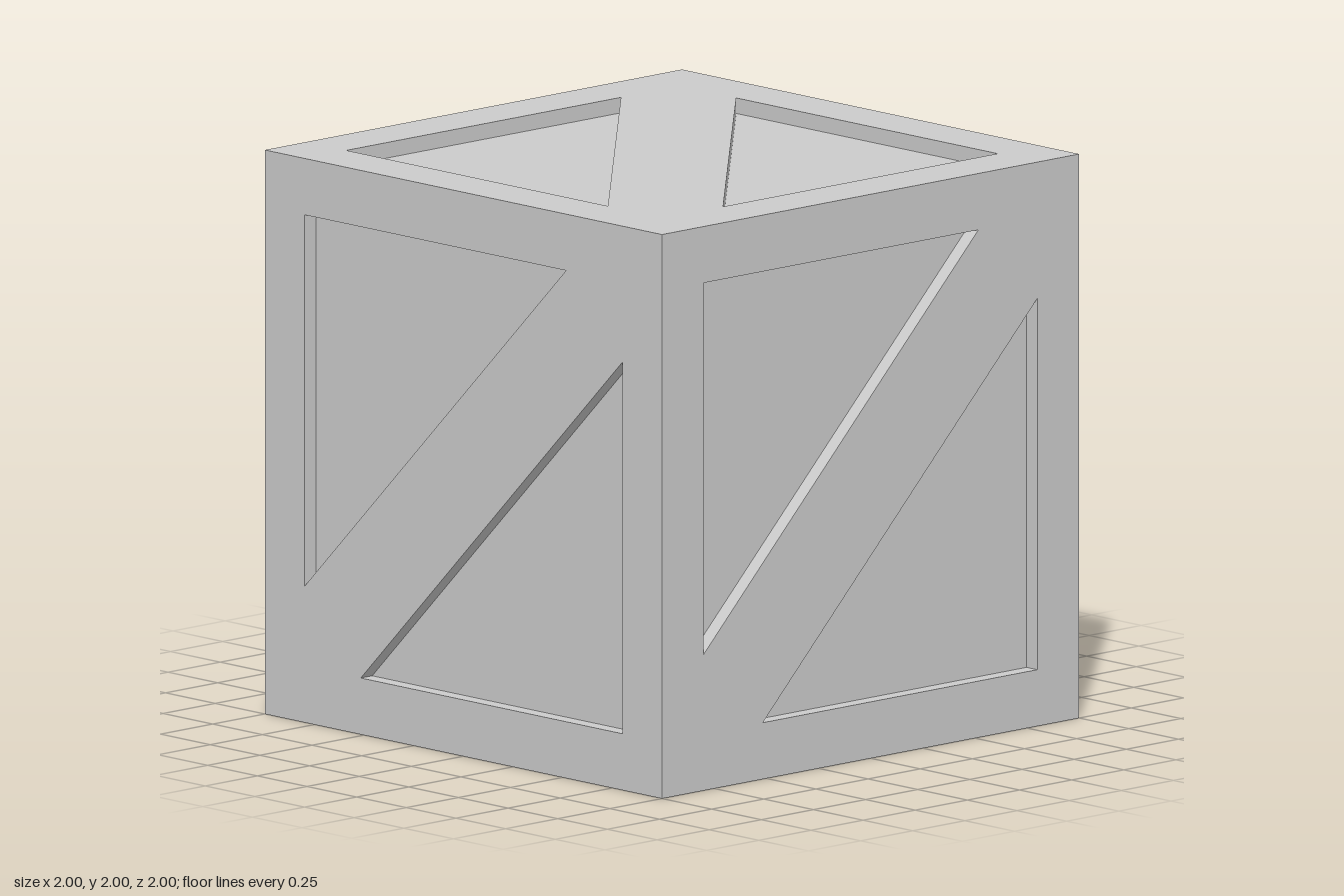
import * as THREE from 'three';

const HALF = 1;        // half the cube's side
const IN = 0.8;        // inner edge of the border
const CUT = 0.517;     // where the diagonal brace meets the border
const DEPTH = 0.055;   // depth of the recessed panels

const material = new THREE.MeshStandardMaterial({ color: 0xcccccc, flatShading: true });

// Triangle corners (counter-clockwise); s = -1 gives the one across the brace
const triangle = (s) => [[-IN, IN], [-IN, -CUT], [CUT, IN]].map(([x, y]) => new THREE.Vector2(s * x, s * y));

function addMesh(parent, name, geometry, z = 0) {
  const mesh = new THREE.Mesh(geometry, material);
  mesh.name = name;
  mesh.position.z = z;
  parent.add(mesh);
}

// Walls joining a triangular opening to its sunken panel, facing inward
function recessWalls(points) {
  const positions = [];
  points.forEach((a, i) => {
    const b = points[(i + 1) % points.length];
    positions.push(a.x, a.y, 0, b.x, b.y, 0, b.x, b.y, -DEPTH);
    positions.push(a.x, a.y, 0, b.x, b.y, -DEPTH, a.x, a.y, -DEPTH);
  });
  const geometry = new THREE.BufferGeometry();
  geometry.setAttribute('position', new THREE.Float32BufferAttribute(positions, 3));
  geometry.computeVertexNormals();
  return geometry;
}

// One side of the crate: border with diagonal brace and two sunken panels
function createSide() {
  const side = new THREE.Group();
  const frame = new THREE.Shape([[-1, -1], [1, -1], [1, 1], [-1, 1]].map(([x, y]) => new THREE.Vector2(x * HALF, y * HALF)));
  for (const s of [1, -1]) {
    const points = triangle(s);
    frame.holes.push(new THREE.Path(points));
    addMesh(side, 'sunkenPanel', new THREE.ShapeGeometry(new THREE.Shape(points)), HALF - DEPTH);
    addMesh(side, 'recessWalls', recessWalls(points), HALF);
  }
  addMesh(side, 'frameWithBrace', new THREE.ShapeGeometry(frame), HALF);
  return side;
}

export function createModel() {
  const crate = new THREE.Group();
  crate.name = 'crate';
  const q = Math.PI / 2;
  // name, turn about x, turn about y, turn in the side's own plane
  const sides = [
    ['frontSide', 0, 0, 0],
    ['leftSide', 0, q, 0],
    ['backSide', 0, 2 * q, 0],
    ['rightSide', 0, -q, 0],
    ['topSide', -q, 0, q],
    ['bottomSide', q, 0, q],
  ];
  for (const [name, rx, ry, rz] of sides) {
    const side = createSide();
    side.name = name;
    side.rotation.set(rx, ry, rz);
    side.position.y = HALF;
    crate.add(side);
  }
  return crate;
}
